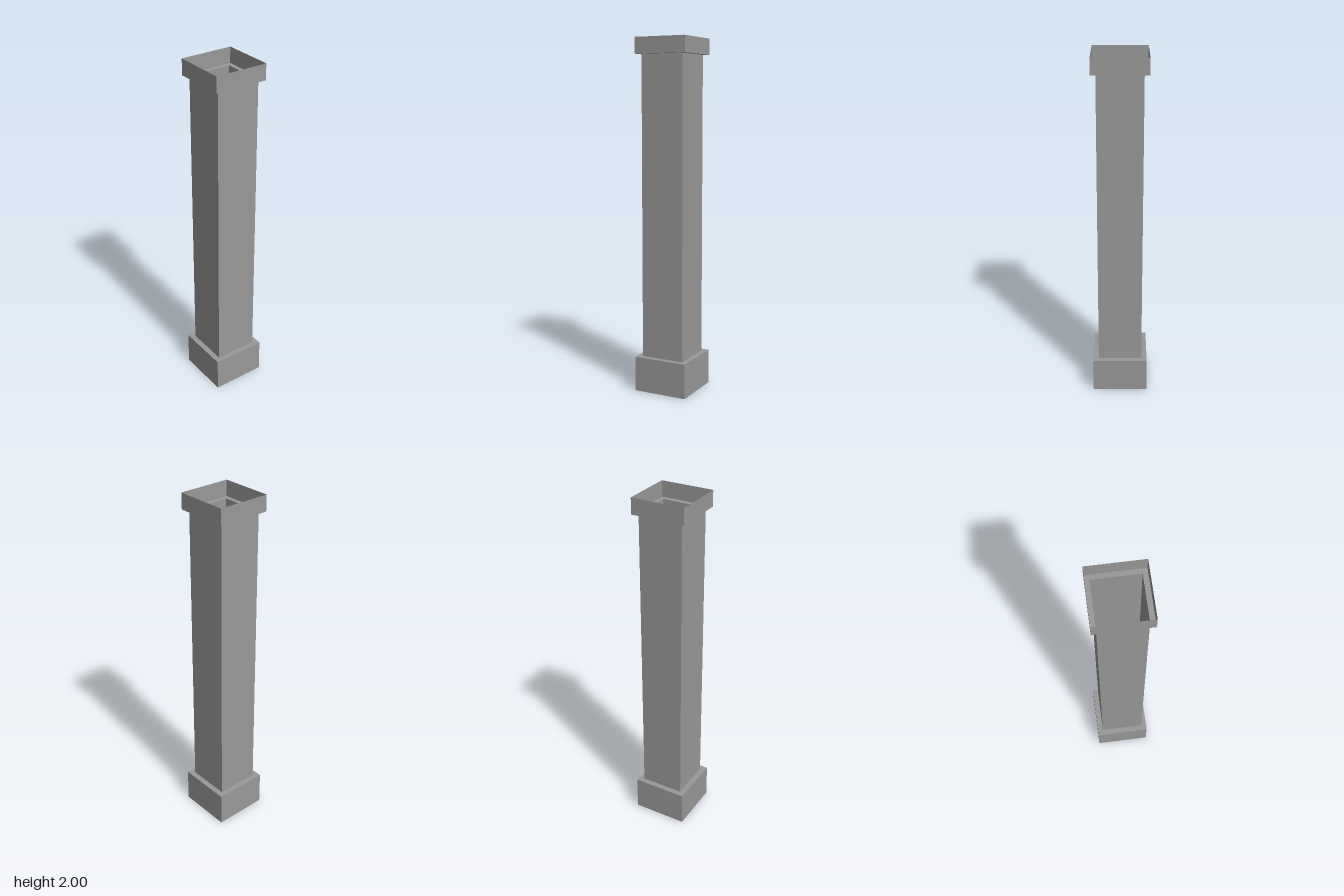
import * as THREE from 'three';

// Open square sleeve swept from a profile of [half width, height] points, bottom to top
function squareSleeve(name, profile, material) {
  const points = profile.map(([half, y]) => new THREE.Vector2(half * Math.SQRT2, y));
  const geometry = new THREE.LatheGeometry(points, 4, Math.PI / 4).toNonIndexed();
  geometry.computeVertexNormals();
  const mesh = new THREE.Mesh(geometry, material);
  mesh.name = name;
  return mesh;
}

export function createModel() {
  const stone = new THREE.MeshStandardMaterial({ color: 0x999999, side: THREE.DoubleSide });
  stone.name = 'grey stone';

  const baseHalf = 0.158, shaftHalf = 0.126, capHalf = 0.153;
  const baseTop = 0.2, capBottom = 1.91, height = 2;

  const column = new THREE.Group();
  column.name = 'column';
  column.add(
    // Base skirt with the ledge running in to the shaft; open underneath
    squareSleeve('base', [[baseHalf, 0], [baseHalf, baseTop], [shaftHalf, baseTop]], stone),
    // Hollow shaft
    squareSleeve('shaft', [[shaftHalf, baseTop], [shaftHalf, capBottom]], stone),
    // Cap with the ledge running out from the shaft; open on top
    squareSleeve('cap', [[shaftHalf, capBottom], [capHalf, capBottom], [capHalf, height]], stone)
  );
  return column;
}
